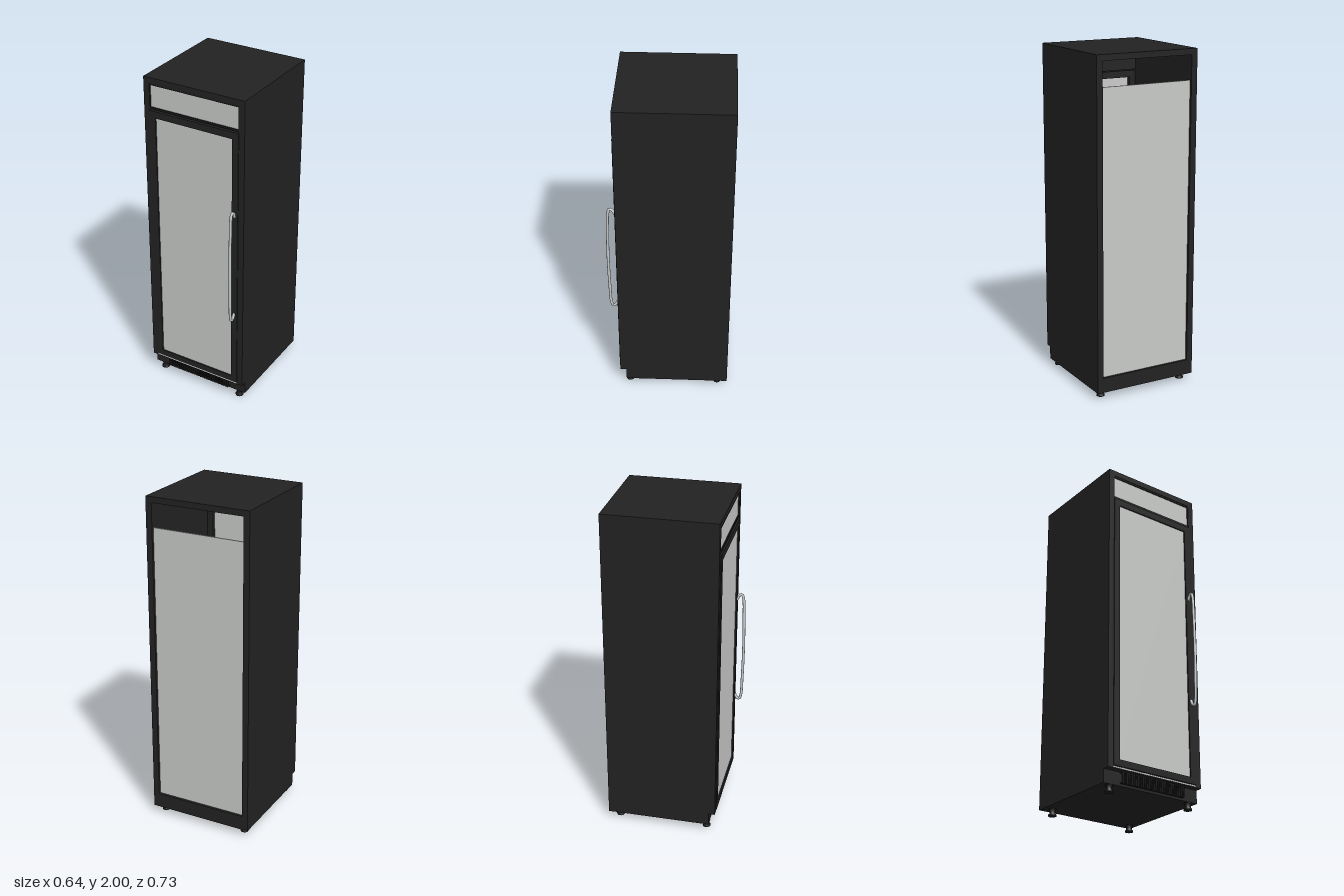
import * as THREE from 'three';

const mat = (name, color) => {
  const m = new THREE.MeshStandardMaterial({ color });
  m.name = name;
  return m;
};

export function createModel() {
  const root = new THREE.Group();
  root.name = 'displayFridge';
  const black = mat('cabinet black', 0x222222);
  const trim = mat('trim black', 0x1b1b1b);
  const pane = mat('pale grey pane', 0xc8cac8);
  const steel = mat('polished steel', 0xc4c8c8);
  const wire = mat('white wire', 0xe6e6e6);

  const add = (name, geo, material, x = 0, y = 0, z = 0, parent = root) => {
    const m = new THREE.Mesh(geo, material);
    m.name = name;
    m.position.set(x, y, z);
    parent.add(m);
    return m;
  };
  // Box given by its limits on each axis
  const box = (name, material, x0, x1, y0, y1, z0, z1, parent) =>
    add(name, new THREE.BoxGeometry(x1 - x0, y1 - y0, z1 - z0), material,
      (x0 + x1) / 2, (y0 + y1) / 2, (z0 + z1) / 2, parent);
  // Rectangular ring extruded along z
  const frame = (name, material, w, y0, y1, iw, iy0, iy1, z0, z1) => {
    const rect = (P, hw, a, b) => new P([[-hw, a], [hw, a], [hw, b], [-hw, b]]
      .map(([x, y]) => new THREE.Vector2(x, y)));
    const s = rect(THREE.Shape, w, y0, y1);
    s.holes.push(rect(THREE.Path, iw, iy0, iy1));
    const g = new THREE.ExtrudeGeometry(s, { depth: z1 - z0, bevelEnabled: false });
    return add(name, g, material, 0, 0, z0);
  };

  // Cabinet shell, open at the back above the rear panel
  frame('cabinetShell', black, 0.322, 0.12, 2, 0.285, 0.132, 1.965, -0.362, 0.303);
  box('base', black, -0.322, 0.322, 0.042, 0.12, -0.362, 0.265);
  box('rearPanel', pane, -0.285, 0.285, 0.132, 1.82, -0.347, -0.339);

  // Header sign panel
  frame('headerFrame', trim, 0.285, 1.812, 1.965, 0.282, 1.824, 1.955, 0.27, 0.3);
  box('headerBacking', black, -0.285, 0.285, 1.812, 1.965, 0.262, 0.284);
  box('headerPanel', pane, -0.282, 0.282, 1.824, 1.955, 0.285, 0.294);

  // Door with glass
  frame('doorFrame', black, 0.286, 0.136, 1.806, 0.247, 0.174, 1.765, 0.27, 0.308);
  box('doorGlass', pane, -0.247, 0.247, 0.174, 1.765, 0.292, 0.3);
  box('sillStrip', pane, -0.285, 0.285, 0.125, 0.133, 0.295, 0.304);

  // Handle: bowed bar with hooked ends
  const half = [[0.306, 0.325], [0.32, 0.352], [0.336, 0.36], [0.346, 0.335], [0.352, 0.2]];
  const pts = [
    ...half.map(([z, d]) => new THREE.Vector3(0.265, 0.965 + d, z)),
    new THREE.Vector3(0.265, 0.965, 0.355),
    ...half.slice().reverse().map(([z, d]) => new THREE.Vector3(0.265, 0.965 - d, z)),
  ];
  add('doorHandle', new THREE.TubeGeometry(new THREE.CatmullRomCurve3(pts), 90, 0.0085, 12), steel);

  // Ventilation grille under the door
  const grille = new THREE.Group();
  grille.name = 'ventGrille';
  root.add(grille);
  for (let i = 0; i < 29; i++) {
    const x = -0.21 + i * 0.015;
    box('grilleSlat', trim, x - 0.0045, x + 0.0045, 0.055, 0.118, 0.283, 0.288, grille);
  }
  for (const y of [0.056, 0.114])
    box('grilleRail', trim, -0.215, 0.215, y, y + 0.005, 0.265, 0.286, grille);

  // Feet
  const footProfile = [[0, 0], [0.024, 0], [0.024, 0.008], [0.017, 0.014], [0.017, 0.036], [0.022, 0.038], [0.022, 0.044]]
    .map(([r, y]) => new THREE.Vector2(r, y));
  const footGeo = new THREE.LatheGeometry(footProfile, 20);
  for (const x of [-0.272, 0.272]) for (const z of [-0.3, 0.245]) add('foot', footGeo, trim, x, 0, z);

  // Wire shelves inside
  for (const y of [0.35, 0.65, 0.95, 1.25, 1.55]) {
    const shelf = new THREE.Group();
    shelf.name = 'wireShelf';
    shelf.position.y = y;
    root.add(shelf);
    for (let i = 0; i < 20; i++) {
      const x = -0.266 + i * 0.028;
      box('shelfWire', wire, x - 0.002, x + 0.002, -0.002, 0.002, -0.3, 0.24, shelf);
    }
    for (const z of [-0.3, -0.03, 0.24])
      box('shelfRail', wire, -0.28, 0.28, -0.007, -0.001, z - 0.003, z + 0.003, shelf);
  }
  return root;
}
